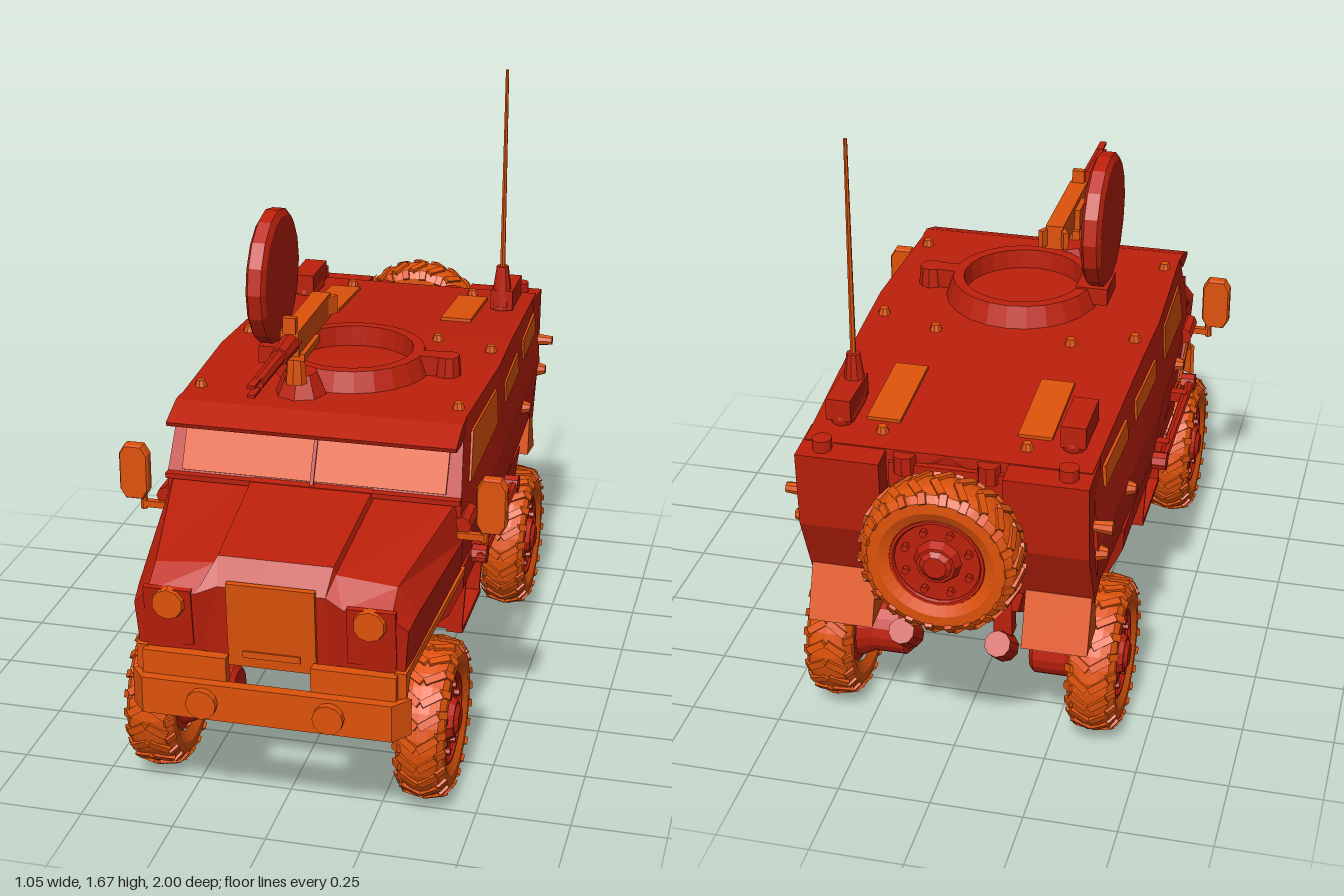
import * as THREE from 'three';
import { mergeGeometries } from 'three/addons/utils/BufferGeometryUtils.js';

const mat = color => new THREE.MeshStandardMaterial({ color, flatShading: true });
const RED = mat(0xbc200b), ORANGE = mat(0xde520a);
const box = (w, h, d) => new THREE.BoxGeometry(w, h, d);
const cyl = (r1, r2, h, n = 16) => new THREE.CylinderGeometry(r1, r2, h, n);
const lathe = (points, n) => new THREE.LatheGeometry(points.map(p => new THREE.Vector2(...p)), n);
const outline = points => new THREE.Shape(points.map(p => new THREE.Vector2(...p)));

function add(parent, name, geo, material, pos = [0, 0, 0], rot = [0, 0, 0]) {
  const m = new THREE.Mesh(geo, material);
  m.name = name;
  m.position.set(...pos);
  m.rotation.set(...rot);
  parent.add(m);
}

// Closed body through half rings (top centre to bottom centre), listed front to rear
function loft(halfRings) {
  const rings = halfRings.map(h => [...h, ...h.slice(1, -1).reverse().map(([x, y, z]) => [-x, y, z])]);
  const n = rings[0].length, idx = [], last = (rings.length - 1) * n;
  for (let r = 0; r < rings.length - 1; r++) for (let j = 0; j < n; j++) {
    const a = r * n + j, b = r * n + (j + 1) % n;
    idx.push(a, b, b + n, a, b + n, a + n);
  }
  for (let j = 1; j < n - 1; j++) idx.push(0, j + 1, j, last, last + j, last + j + 1);
  const g = new THREE.BufferGeometry();
  g.setAttribute('position', new THREE.Float32BufferAttribute(rings.flat(2), 3));
  g.setIndex(idx);
  const flat = g.toNonIndexed();
  flat.computeVertexNormals();
  return flat;
}

// Side outline of [z, y] points, thickened from x0 to x1
const sidePlate = (points, x0, x1) => new THREE.ExtrudeGeometry(outline(points.map(([z, y]) => [-z, y])),
  { depth: x1 - x0, bevelEnabled: false }).rotateY(Math.PI / 2).translate(x0, 0, 0);

const topHalf = z => 0.402 - 0.036 * Math.abs(z);
const waistHalf = z => 0.415 - 0.03 * Math.abs(z);
const sideX = (y, z) => THREE.MathUtils.lerp(waistHalf(z), topHalf(z), (y - 0.7) / 0.26);
const fenderX = (y, z) => 0.385 - 0.1 * (z - 0.45);

// Thin side panel following a surface x = surface(y, z) on side s
function drape(points, thickness, s, surface) {
  const g = sidePlate(points, -thickness / 2, thickness / 2), p = g.attributes.position;
  for (let i = 0; i < p.count; i++) p.setX(i, p.getX(i) + s * surface(p.getY(i), p.getZ(i)));
  g.computeVertexNormals();
  return g;
}

// Rounded tyre with chevron lugs, axis along x
const tyreGeo = (() => {
  const parts = [lathe([[.12, -.05], [.15, -.064], [.178, -.063], [.196, -.05], [.205, -.025], [.207, 0],
    [.205, .025], [.196, .05], [.178, .063], [.15, .064], [.12, .05]], 36).toNonIndexed()];
  for (const s of [-1, 1]) for (let i = 0; i < 22; i++) {
    const a = i / 22 * Math.PI * 2;
    parts.push(box(.014, .058, .02).rotateX(s * 0.6).rotateZ(s * .2).translate(.203, s * .026, 0).rotateY(a).toNonIndexed());
    parts.push(box(.03, .012, .02).rotateZ(-s * .7).translate(.187, s * .056, s * .021).rotateY(a).toNonIndexed());
  }
  return mergeGeometries(parts).rotateZ(-Math.PI / 2);
})();

// Wheel with its outer face to +x
function wheel(name) {
  const g = new THREE.Group(), side = [0, 0, -Math.PI / 2];
  g.name = name;
  add(g, 'tyre', tyreGeo, ORANGE);
  add(g, 'rim', cyl(.125, .125, .08, 24), RED, [0, 0, 0], side);
  add(g, 'rimLip', new THREE.TorusGeometry(.118, .008, 6, 24), RED, [.047, 0, 0], [0, Math.PI / 2, 0]);
  add(g, 'hub', cyl(.05, .065, .03, 10), RED, [.048, 0, 0], side);
  add(g, 'hubCap', cyl(.03, .045, .012, 10), RED, [.067, 0, 0], side);
  for (let i = 0; i < 8; i++) {
    const a = (i + .5) * Math.PI / 4;
    add(g, 'wheelNut', cyl(.01, .01, .026, 6), RED, [.042, Math.sin(a) * .088, Math.cos(a) * .088], side);
  }
  return g;
}

export function createModel() {
  const model = new THREE.Group();
  const X = [0, 0, -Math.PI / 2], Z = [Math.PI / 2, 0, 0];

  // Hull: cab and crew compartment, bonnet, belly and centre tub
  const bodyRing = (z, roof, low) => [[0, roof, z], [topHalf(z), roof, z], [waistHalf(z), .7, z], [.4 - .03 * Math.abs(z), .54, low], [0, .54, low]];
  add(model, 'upperHull', loft([
    [[0, .775, .51], [.4, .775, .51], [.4, .7, .51], [.385, .54, .45], [0, .54, .45]],
    [[0, .965, .42], [topHalf(.42), .965, .42], [.4, .7, .51], [.385, .54, .45], [0, .54, .45]],
    bodyRing(0, .965, 0), bodyRing(-.23, .958, -.23), bodyRing(-.775, .92, -.71)]), RED);
  add(model, 'bonnet', loft([
    [[0, .46, .9], [.14, .46, .9], [.19, .46, .92], [.3, .46, .925], [.345, .46, .92], [.345, .45, .915], [0, .45, .895]],
    [[0, .66, .915], [.14, .66, .915], [.19, .645, .94], [.315, .64, .945], [.355, .6, .93], [.345, .465, .915], [0, .465, .895]],
    [[0, .725, .87], [.15, .725, .87], [.155, .705, .87], [.315, .69, .87], [.365, .62, .86], [.355, .49, .86], [0, .49, .86]],
    [[0, .785, .5], [.165, .785, .5], [.17, .768, .5], [.385, .768, .5], [.405, .66, .5], [.39, .54, .45], [0, .54, .45]]]), RED);
  const bellyRing = (z, low, zLow, w) => [[.0, .55, z], [.395, .55, z], [.388, .47, z * .75 + zLow * .25],
    [.34, .36, z * .4 + zLow * .6], [w, low, zLow], [0, low, zLow]];
  add(model, 'belly', loft([bellyRing(.43, .23, .31, .2), bellyRing(0, .23, 0, .2), bellyRing(-.36, .23, -.25, .2), bellyRing(-.43, .31, -.33, .24)]), RED);
  const tubRing = (z, y) => [[0, .56, z], [.2, .56, z], [.17, y, z], [0, y, z]];
  add(model, 'centreTub', loft([tubRing(.86, .49), tubRing(.5, .25), tubRing(-.45, .26), tubRing(-.72, .44)]), RED);

  // Windscreen, visor and grille
  const lean = -.452;
  for (const s of [-1, 1]) add(model, 'windscreen', box(.355, .165, .012), ORANGE, [s * .181, .862, .471], [lean, 0, 0]);
  add(model, 'windscreenPillar', box(.01, .19, .02), RED, [0, .865, .471], [lean, 0, 0]);
  add(model, 'visor', sidePlate([[.41, .965], [.45, .965], [.54, .932], [.535, .92], [.47, .915], [.43, .93]], -.39, .39), RED);
  add(model, 'windscreenSill', box(.8, .014, .03), RED, [0, .775, .515]);
  add(model, 'grille', box(.23, .235, .016), ORANGE, [0, .56, .912], [.07, 0, 0]);
  add(model, 'grilleHandle', box(.15, .018, .012), ORANGE, [0, .48, .914]);
  for (const x of [-.1, .1]) for (const y of [.46, .66]) add(model, 'grilleBolt', cyl(.007, .007, .012, 6), ORANGE, [x, y, .914 + (y - .56) * .07], Z);

  // Front bumper with swept ends
  const bumper = outline([[-.365, -.93], [-.355, -.925], [-.32, -.95], [.32, -.95], [.355, -.925], [.365, -.93], [.325, -.98], [-.325, -.98]]);
  add(model, 'bumper', new THREE.ExtrudeGeometry(bumper, { depth: .1, bevelEnabled: false }).rotateX(-Math.PI / 2), ORANGE, [0, .315, 0]);

  for (const s of [-1, 1]) {
    // Front fittings
    add(model, 'bumperWing', box(.22, .14, .03), ORANGE, [s * .22, .41, .938]);
    add(model, 'towLamp', cyl(.04, .04, .06, 12), ORANGE, [s * .165, .365, .97], Z);
    add(model, 'headlightFrame', box(.125, .16, .016), RED, [s * .263, .575, .93], [.12, 0, 0]);
    add(model, 'headlight', cyl(.04, .045, .02, 10), ORANGE, [s * .26, .615, .947], Z);
    add(model, 'fender', drape([[.935, .485], [.93, .4], [.9, .465], [.45, .535], [.44, .555]], .03, s, fenderX), ORANGE);

    // Windows and side fittings
    for (const p of [[[.4, .785], [.35, .91], [.06, .92], [.06, .82]],
      [[-.08, .83], [-.08, .888], [-.325, .888], [-.325, .83]],
      [[-.43, .83], [-.43, .888], [-.68, .888], [-.68, .83]]]) add(model, 'sideWindow', drape(p, .012, s, sideX), ORANGE);
    for (const z of [.3, -.425, -.755]) add(model, 'sideKnob', cyl(.014, .024, .03, 8), ORANGE, [s * (sideX(.68, z) + .006), .68, z], [0, 0, -s * Math.PI / 2]);
    add(model, 'sideRail', cyl(.014, .014, .52, 8), RED, [s * .436, .575, .155], Z);
    for (const z of [.39, -.09]) add(model, 'railEnd', cyl(.026, .026, .04, 8), RED, [s * .43, .575, z], X);
    for (const z of [.3, .0]) add(model, 'railBracket', box(.05, .03, .03), RED, [s * .415, .575, z]);

    // Mirror
    add(model, 'mirrorMount', cyl(.025, .025, .1, 8), RED, [s * .405, .71, .47], Z);
    add(model, 'mirrorArm', box(.08, .018, .018), ORANGE, [s * .43, .685, .52]);
    add(model, 'mirrorStem', cyl(.01, .01, .05, 8), ORANGE, [s * .465, .695, .52]);
    const glass = outline([[-.036, -.05], [-.022, -.073], [.022, -.073], [.036, -.05], [.036, .05], [.022, .073], [-.022, .073], [-.036, .05]]);
    add(model, 'mirror', new THREE.ExtrudeGeometry(glass, { depth: .024, bevelThickness: .007, bevelSize: .004, bevelSegments: 1 }), ORANGE, [s * .485, .78, .514]);

    // Hanging step: two triangular cheeks joined by a bar
    for (const z of [.285, .035]) {
      const cheek = outline([[s * .375, .45], [s * .26, .29], [s * .365, .285]]);
      add(model, 'stepCheek', new THREE.ExtrudeGeometry(cheek, { depth: .01, bevelEnabled: false }), RED, [0, 0, z - .005]);
    }
    add(model, 'stepBar', box(.045, .014, .26), RED, [s * .345, .285, .16]);

    // Rear corner columns, flaps and tail pipes
    add(model, 'rearColumn', sidePlate([[-.7, .922], [-.845, .912], [-.83, .7], [-.75, .52], [-.68, .54]], s > 0 ? .16 : -.38, s > 0 ? .38 : -.16), RED);
    add(model, 'mudFlap', sidePlate([[-.72, .54], [-.76, .54], [-.815, .395], [-.7, .41]], s > 0 ? .2 : -.375, s > 0 ? .375 : -.2), ORANGE);
    add(model, 'tailPipe', cyl(.035, .04, .1, 10), RED, [s * .13, .345, -.745], [-.9, 0, 0]);
    add(model, 'tailPipeBracket', box(.05, .12, .05), RED, [s * .13, .42, -.7]);
    add(model, 'tailLamp', cyl(.014, .02, .06, 8), ORANGE, [s * .4, .77, -.775], X);

    // Roof fittings
    add(model, 'roofWindow', box(.09, .014, .27), ORANGE, [s * .2, .94, -.52], [-.07, 0, 0]);
    add(model, 'roofPod', new THREE.CapsuleGeometry(.033, .1, 3, 12).rotateX(Math.PI / 2), RED, [s * .305, .94, -.62]);
    add(model, 'roofPodBox', box(.066, .06, .16), RED, [s * .308, .97, -.62]);
    add(model, 'roofCap', cyl(.026, .026, .04, 12), RED, [s * .32, .925, -.8]);
    for (const [x, z, y] of [[.355, .34, .97], [.355, -.12, .967], [.19, -.18, .965], [.19, -.7, .93]])
      add(model, 'liftingEye', cyl(.012, .02, .025, 8), ORANGE, [s * x, y, z]);

    // Wheels, drums and suspension towers
    for (const [z, end] of [[.65, 'front'], [-.525, 'rear']]) {
      const w = wheel(end + 'Wheel');
      w.position.set(s * .362, .215, z);
      if (s < 0) w.rotation.y = Math.PI;
      model.add(w);
      add(model, 'axleDrum', lathe([[0, -.07], [.068, -.07], [.08, -.058], [.08, .03], [.1, .07], [0, .07]], 18), RED, [s * .24, .212, z], [0, 0, -s * Math.PI / 2]);
      add(model, 'suspensionTower', cyl(.05, .05, .26, 10), ORANGE, [s * .27, .41, z > 0 ? .63 : -.48]);
    }
  }

  // Rear door and spare wheel
  add(model, 'rearDoor', box(.3, .34, .03), RED, [0, .72, -.775]);
  add(model, 'spareMount', box(.15, .2, .12), RED, [-.025, .73, -.82]);
  for (const x of [-.11, .11]) add(model, 'doorHinge', cyl(.03, .03, .05, 8), RED, [x, .89, -.78]);
  const spare = wheel('spareWheel');
  spare.position.set(-.025, .73, -.925);
  spare.rotation.y = Math.PI / 2;
  model.add(spare);

  // Hatch ring, latch and open lid
  add(model, 'hatchRing', lathe([[.225, .95], [.2, 1.02], [.17, 1.02], [.165, .95]], 24), RED, [.005, 0, .09]);
  add(model, 'hatchLatch', box(.1, .06, .05), RED, [.235, .99, .095]);
  add(model, 'hatchLatchEnd', cyl(.033, .038, .06, 10), RED, [.275, .99, .095]);
  add(model, 'hatchLid', lathe([[0, -.028], [.17, -.028], [.187, -.018], [.187, .018], [.17, .028], [0, .028]], 16), RED, [-.218, 1.212, .1], X);
  add(model, 'hatchHinge', box(.09, .05, .12), RED, [-.2, 1.0, .1]);

  // Roof gun on its post
  add(model, 'gunMount', cyl(.045, .075, .07, 8), RED, [-.08, .99, .32]);
  add(model, 'gunPost', cyl(.022, .03, .1, 8), ORANGE, [-.08, 1.06, .37]);
  add(model, 'gunCradle', box(.075, .02, .16), ORANGE, [-.08, 1.1, .34]);
  add(model, 'gunReceiver', box(.05, .07, .33), ORANGE, [-.08, 1.14, .265]);
  add(model, 'gunAmmoBox', box(.03, .06, .09), ORANGE, [-.105, 1.13, .3]);
  add(model, 'gunSight', box(.035, .045, .02), ORANGE, [-.08, 1.19, .425]);
  for (const s of [-1, 1]) {
    add(model, 'gunHandle', box(.014, .05, .06), ORANGE, [-.08 + s * .022, 1.14, .11], [0, -s * .5, 0]);
    add(model, 'muzzleProng', box(.02, .008, .06), RED, [-.08, 1.14 + s * .012, .76]);
  }
  add(model, 'gunShroud', cyl(.024, .028, .13, 8), RED, [-.08, 1.14, .47], Z);
  add(model, 'gunBarrel', cyl(.017, .019, .21, 8), RED, [-.08, 1.14, .63], Z);

  // Whip antenna
  add(model, 'antennaBase', cyl(.018, .034, .12, 10), RED, [.305, 1.01, -.565]);
  add(model, 'antenna', cyl(.005, .008, .6, 6), ORANGE, [.305, 1.365, -.565]);
  return model;
}
